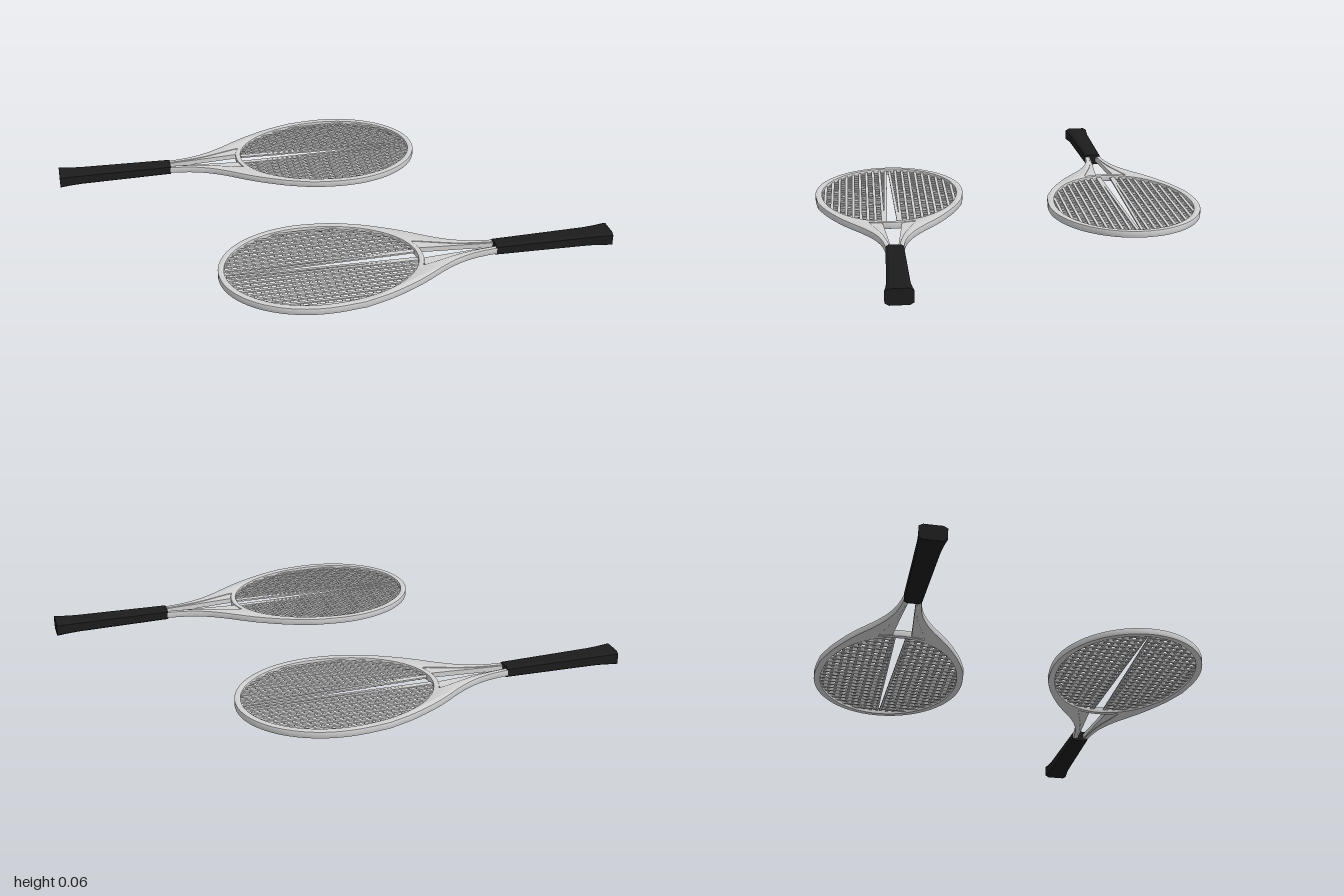
import * as THREE from 'three';
import { mergeGeometries, toCreasedNormals } from 'three/addons/utils/BufferGeometryUtils.js';

const MID = 0.0285; // height of the racket's middle plane
const HEAD_X = 0.13; // widest point of the head

// Egg-shaped ring: a short half ellipse at the tip, a longer one at the throat
function egg(tip, throat, halfWidth, from, to, n) {
  return Array.from({ length: n + 1 }, (_, i) => {
    const a = from + ((to - from) * i) / n;
    const c = Math.cos(a);
    return new THREE.Vector2(HEAD_X + c * (c > 0 ? tip : throat), Math.sin(a) * halfWidth);
  });
}
const mirrored = (pts) => pts.map((p) => new THREE.Vector2(p.x, -p.y)).reverse();
const smooth = (pts, n) =>
  new THREE.SplineCurve(pts.map(([x, y]) => new THREE.Vector2(x, y))).getPoints(n);

// Flat plate lying in the xz plane, centred on MID
function plate(shape, thickness, bevel) {
  const depth = thickness - 2 * bevel;
  const g = new THREE.ExtrudeGeometry(shape, {
    depth, bevelEnabled: bevel > 0, bevelSize: bevel, bevelThickness: bevel,
    bevelOffset: -bevel, bevelSegments: 2,
  });
  g.rotateX(Math.PI / 2).translate(0, MID + depth / 2, 0);
  return toCreasedNormals(g, 0.6);
}

// Rim, bridge and both arms in one outline
function frameGeometry() {
  const arm = smooth([[0, 0.278], [-0.1, 0.243], [-0.2, 0.193], [-0.265, 0.152],
    [-0.33, 0.107], [-0.4, 0.068], [-0.48, 0.042], [-0.59, 0.028]], 28);
  const half = [...egg(0.347, 0.405, 0.29, 0, 1.82, 30).slice(0, -1), ...arm];
  const shape = new THREE.Shape([...half, ...mirrored(half).slice(0, -1)]);
  shape.holes.push(new THREE.Path(egg(0.325, 0.385, 0.265, 0, Math.PI * 2, 72).slice(0, -1)));
  const a = Math.asin(0.085 / 0.28);
  const inner = smooth([[-0.565, 0.015], [-0.48, 0.024], [-0.4, 0.04], [-0.32, 0.066], [-0.275, 0.081]], 14);
  const bridge = egg(0.34, 0.405, 0.28, Math.PI - a, Math.PI + a, 12);
  shape.holes.push(new THREE.Path([...inner, ...bridge, ...mirrored(inner)]));
  return plate(shape, 0.025, 0.002);
}

// Recessed web between an arm and the open slot of the throat
function webGeometry(side) {
  const edge = smooth([[-0.57, 0.02], [-0.48, 0.028], [-0.4, 0.045], [-0.32, 0.072], [-0.262, 0.088]], 14);
  const pts = [...edge, new THREE.Vector2(-0.264, 0.036), new THREE.Vector2(-0.57, 0.01)];
  return plate(new THREE.Shape(side > 0 ? pts : mirrored(pts)), 0.019, 0);
}

// One string between two points in the xz plane
function stringGeometry(x0, z0, x1, z1, y) {
  const g = new THREE.BoxGeometry(Math.hypot(x1 - x0, z1 - z0), 0.006, 0.011);
  g.rotateY(-Math.atan2(z1 - z0, x1 - x0));
  return g.translate((x0 + x1) / 2, y, (z0 + z1) / 2);
}

function stringBed() {
  const list = [];
  const reach = (r, d, half) => r * Math.sqrt(Math.max(0, 1 - (d / half) ** 2));
  // Lengthwise strings, with a tapering gap along the middle
  for (const s of [1, -1]) {
    list.push(stringGeometry(-0.25, s * 0.024, 0.45, s * 0.008, MID + 0.002));
    for (let i = 0; i < 9; i++) {
      const z = 0.033 + i * 0.0272;
      list.push(stringGeometry(HEAD_X - reach(0.39, z, 0.268), s * z,
        HEAD_X + reach(0.33, z, 0.268), s * z, MID + 0.002));
    }
  }
  // Cross strings, ending at the gap
  for (let i = 0; i < 23; i++) {
    const x = -0.222 + i * 0.0295;
    const z = reach(0.268, x - HEAD_X, x < HEAD_X ? 0.39 : 0.33);
    const gap = 0.024 - ((x + 0.25) / 0.7) * 0.016;
    for (const s of [1, -1]) list.push(stringGeometry(x, s * gap, x, s * z, MID - 0.002));
  }
  return mergeGeometries(list);
}

// Eight-sided grip that flares towards the butt
function gripGeometry() {
  const c = 0.3;
  const oct = [[1, -1 + c], [1, 1 - c], [1 - c, 1], [-1 + c, 1],
    [-1, 1 - c], [-1, -1 + c], [-1 + c, -1], [1 - c, -1]];
  const shape = new THREE.Shape(oct.map(([x, y]) => new THREE.Vector2(x, y)));
  const g = new THREE.ExtrudeGeometry(shape, { depth: 0.45, steps: 15, bevelEnabled: false });
  const p = g.attributes.position;
  for (let i = 0; i < p.count; i++) {
    const d = p.getZ(i);
    const flare = Math.max(0, 1 - d / 0.09) ** 1.5;
    const taper = 1 - d / 0.45;
    p.setX(i, p.getX(i) * (0.032 + 0.009 * taper + 0.007 * flare));
    p.setY(i, p.getY(i) * (0.021 + 0.004 * taper + 0.0035 * flare));
  }
  g.rotateY(Math.PI / 2).translate(-1, MID, 0);
  return toCreasedNormals(g, 0.4);
}

export function createModel() {
  const lightGrey = new THREE.MeshStandardMaterial({ color: 0xd2d2d2 });
  const gripBlack = new THREE.MeshStandardMaterial({ color: 0x1c1c1c });
  lightGrey.name = 'light grey';
  gripBlack.name = 'grip black';

  const parts = [
    ['frame', frameGeometry(), lightGrey],
    ['throatWebLeft', webGeometry(1), lightGrey],
    ['throatWebRight', webGeometry(-1), lightGrey],
    ['strings', stringBed(), lightGrey],
    ['grip', gripGeometry(), gripBlack],
  ];

  // Two identical rackets, lying head to tail
  const model = new THREE.Group();
  model.name = 'racketPair';
  for (const [name, z, turn] of [['backRacket', -0.4465, 0], ['frontRacket', 0.4465, Math.PI]]) {
    const racket = new THREE.Group();
    racket.name = name;
    for (const [part, geometry, material] of parts) {
      const mesh = new THREE.Mesh(geometry, material);
      mesh.name = part;
      racket.add(mesh);
    }
    racket.rotation.y = turn;
    racket.position.z = z;
    model.add(racket);
  }
  return model;
}
